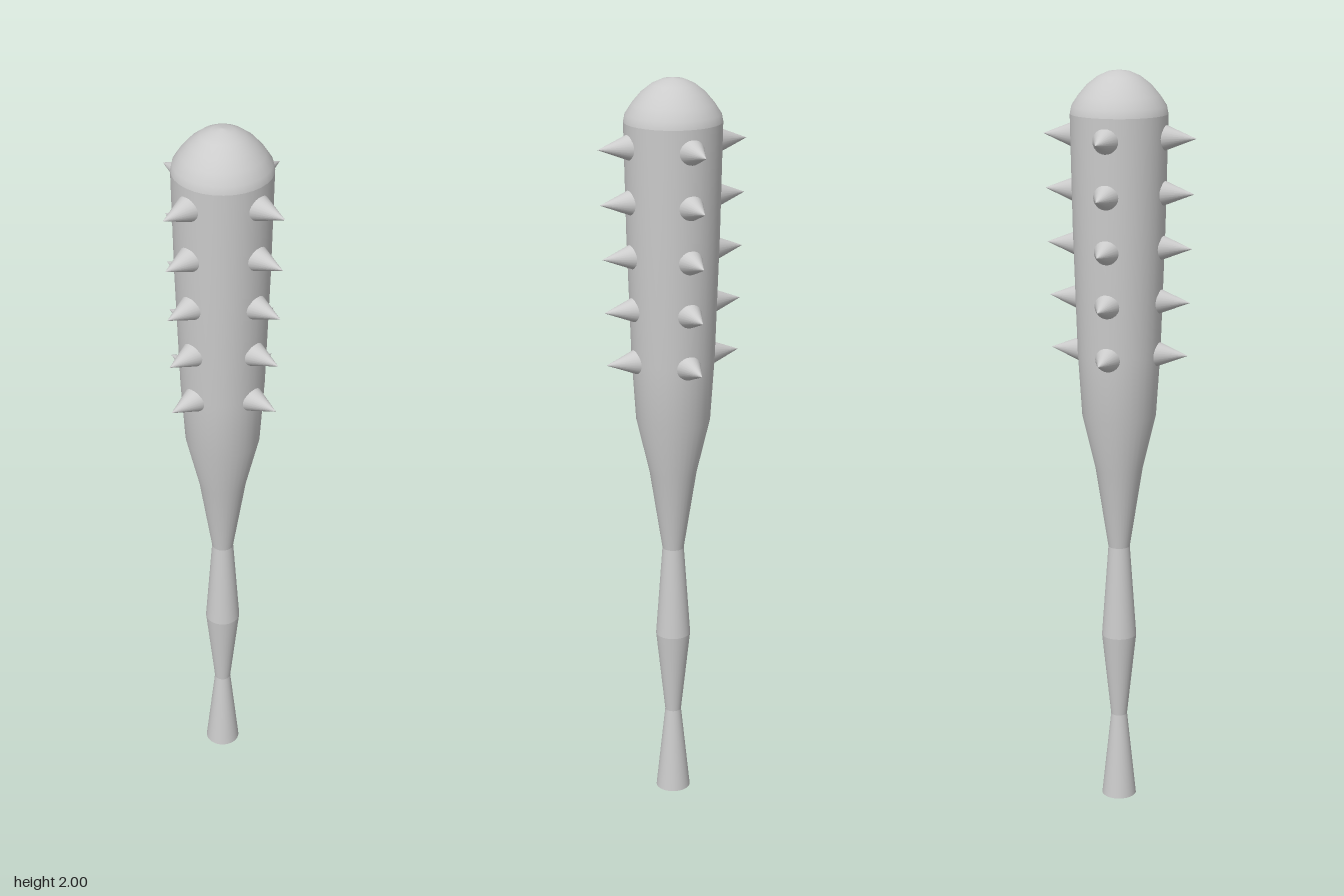
import * as THREE from 'three';

const material = new THREE.MeshStandardMaterial({ color: 0xcccccc });

// Radius / height profiles; each section is its own lathe so its ends stay creased
const sections = {
  pommel: [[0.047, 0], [0.022, 0.24]],
  lowerGrip: [[0.022, 0.24], [0.047, 0.475]],
  upperGrip: [[0.047, 0.475], [0.029, 0.73]],
  barrel: [[0.029, 0.73], [0.063, 0.95], [0.098, 1.1], [0.109, 1.27], [0.12, 1.6], [0.126, 1.89]],
  domeTip: [[0.126, 1.89], [0.122, 1.91], [0.105, 1.936], [0.082, 1.963], [0.055, 1.984], [0.028, 1.996], [0, 2]],
};

function add(parent, name, geometry) {
  const mesh = new THREE.Mesh(geometry, material);
  mesh.name = name;
  parent.add(mesh);
  return mesh;
}

export function createModel() {
  const club = new THREE.Group();
  club.name = 'spikedClub';

  // Turned body
  for (const [name, profile] of Object.entries(sections)) {
    const points = profile.map(([r, y]) => new THREE.Vector2(r, y));
    add(club, name, new THREE.LatheGeometry(points, 32));
  }

  // Flat underside of the handle
  add(club, 'handleBase', new THREE.CircleGeometry(0.047, 32)).rotation.x = Math.PI / 2;

  // Five rings of four spikes, sunk slightly into the barrel
  const length = 0.09;
  const spikeGeometry = new THREE.ConeGeometry(0.036, length, 24);
  spikeGeometry.rotateX(Math.PI / 2);
  for (let row = 0; row < 5; row++) {
    const ring = new THREE.Group();
    ring.name = 'spikeRing';
    ring.position.y = 1.27 + row * 0.1408;
    const tip = 0.187 + row * 0.0043;
    for (let i = 0; i < 4; i++) {
      const angle = (i * Math.PI) / 2;
      const spike = add(ring, 'spike', spikeGeometry);
      spike.rotation.y = angle;
      spike.position.set(Math.sin(angle), 0, Math.cos(angle)).multiplyScalar(tip - length / 2);
    }
    club.add(ring);
  }
  return club;
}
